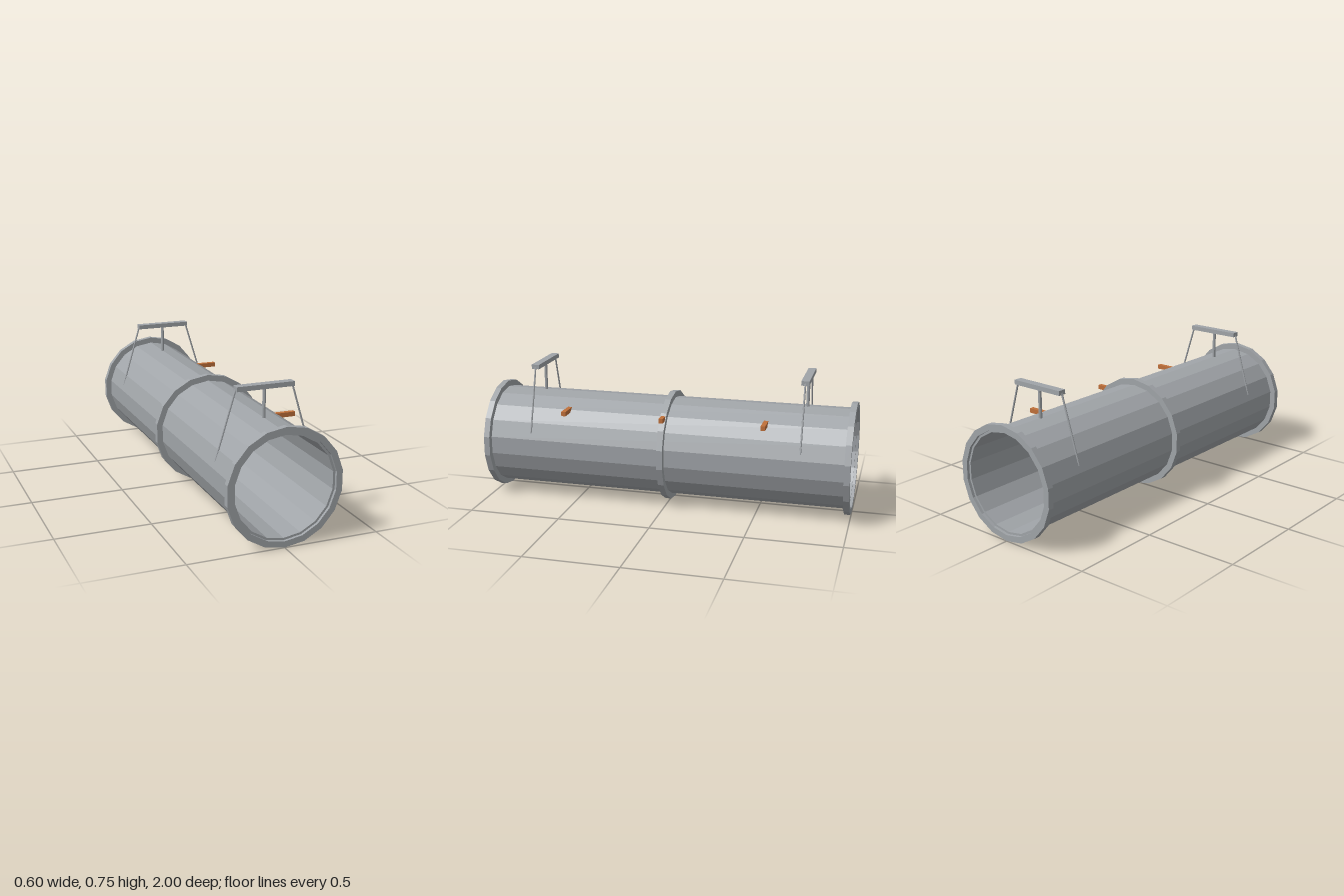
import * as THREE from 'three';

const CENTER_Y = 0.3055;
const SIDES = 18;

// Hollow faceted pipe section lying along z
function pipe(outer, inner, length) {
  const h = length / 2;
  const profile = [[outer, -h], [outer, h], [inner, h], [inner, -h], [outer, -h]];
  const geo = new THREE.LatheGeometry(profile.map(([r, y]) => new THREE.Vector2(r, y)), SIDES);
  return geo.rotateX(Math.PI / 2);
}

// Thin rod between two points
function rod(a, b, radius, material) {
  const dir = b.clone().sub(a);
  const mesh = new THREE.Mesh(new THREE.CylinderGeometry(radius, radius, dir.length(), 8), material);
  mesh.position.copy(a).add(b).multiplyScalar(0.5);
  mesh.quaternion.setFromUnitVectors(new THREE.Vector3(0, 1, 0), dir.normalize());
  return mesh;
}

export function createModel() {
  const model = new THREE.Group();
  model.name = 'pipeSection';

  const steel = new THREE.MeshStandardMaterial({ color: 0xa0a4a8, flatShading: true });
  steel.name = 'grey steel';
  const orange = new THREE.MeshStandardMaterial({ color: 0xc0703a, flatShading: true });
  orange.name = 'orange marker';

  const add = (mesh, name, parent = model) => {
    mesh.name = name;
    parent.add(mesh);
    return mesh;
  };

  // Main tube, its ends set slightly inside the flanges
  add(new THREE.Mesh(pipe(0.2705, 0.2585, 1.97), steel), 'tube').position.y = CENTER_Y;

  // Flange rings at both ends and the middle
  const flangeGeo = pipe(0.3025, 0.27, 0.032);
  for (const [name, z] of [['frontFlange', 0.984], ['middleFlange', 0], ['backFlange', -0.984]]) {
    add(new THREE.Mesh(flangeGeo, steel), name).position.set(0, CENTER_Y, z);
  }

  // Overhead brackets: crossbar, central post and two splayed legs
  for (const [name, z] of [['frontBracket', 0.739], ['backBracket', -0.739]]) {
    const bracket = new THREE.Group();
    bracket.name = name;
    bracket.position.z = z;
    model.add(bracket);
    add(new THREE.Mesh(new THREE.BoxGeometry(0.304, 0.024, 0.042), steel), 'crossbar', bracket)
      .position.y = 0.736;
    add(rod(new THREE.Vector3(0, 0.565, 0), new THREE.Vector3(0, 0.73, 0), 0.009, steel), 'post', bracket);
    for (const s of [-1, 1]) {
      const top = new THREE.Vector3(s * 0.148, 0.735, 0);
      const foot = new THREE.Vector3(s * 0.253, 0.385, 0);
      add(rod(top, foot, 0.005, steel), s > 0 ? 'leftLeg' : 'rightLeg', bracket);
    }
  }

  // Orange bars passing through the upper left wall
  const barGeo = new THREE.BoxGeometry(0.137, 0.024, 0.024);
  for (const [name, z] of [['frontMarker', 0.543], ['middleMarker', 0], ['backMarker', -0.543]]) {
    add(new THREE.Mesh(barGeo, orange), name).position.set(0.1935, 0.512, z);
  }

  return model;
}
